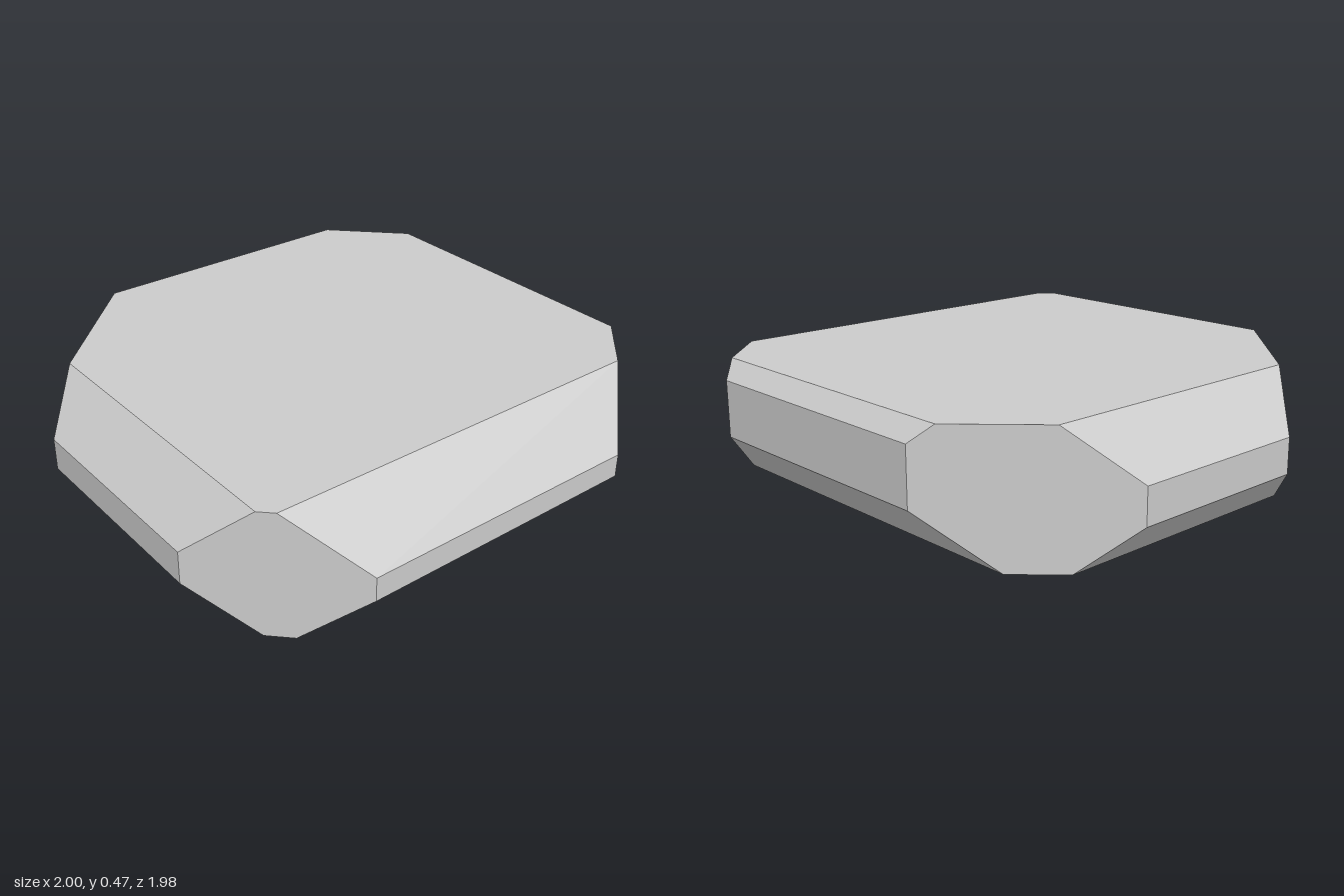
import * as THREE from 'three';

const HEIGHT = 0.47;

// Four sides, going round from the front: outward direction, distance from the
// centre, the two heights of the upright band, and the diagonal cut that follows.
const SIDES = [
  { n: [0, 1], d: 0.992, low: 0.18, high: 0.3, cut: 1.567 },   // front
  { n: [1, 0], d: 1, low: 0.172, high: 0.26, cut: 1.525 },     // left (+x)
  { n: [0, -1], d: 0.992, low: 0.2, high: 0.408, cut: 1.49 },  // back
  { n: [-1, 0], d: 1, low: 0.155, high: 0.285, cut: 1.22 },    // right (-x)
];

// Start and end columns of one side, each four points from bottom to top.
// Both bevels run at 45 degrees, so their inset equals their height.
function sideColumns(side, i) {
  const [nx, nz] = side.n;
  const [tx, tz] = [nz, -nx];
  const before = SIDES[(i + 3) % 4].cut;
  const levels = [
    [side.d - side.low, 0],
    [side.d, side.low],
    [side.d, side.high],
    [side.d - (HEIGHT - side.high), HEIGHT],
  ];
  const column = (sign, cut) => levels.map(([d, y]) => {
    const t = sign * (cut - d);
    return [nx * d + tx * t, y, nz * d + tz * t];
  });
  return { start: column(-1, before), end: column(1, side.cut) };
}

function bevelledSlab() {
  const positions = [];
  // Fan of triangles over a flat convex outline
  const addFace = (pts) => {
    for (let i = 1; i < pts.length - 1; i++) positions.push(...pts[0], ...pts[i], ...pts[i + 1]);
  };
  const columns = SIDES.map(sideColumns);

  columns.forEach(({ start, end }, i) => {
    // Lower bevel, upright band, upper bevel
    for (let k = 0; k < 3; k++) addFace([start[k], end[k], end[k + 1], start[k + 1]]);
    // Upright diagonal corner
    const next = columns[(i + 1) % 4].start;
    addFace([...next, ...end.slice().reverse()]);
  });

  // Top and bottom
  addFace(columns.flatMap(({ start, end }) => [start[3], end[3]]));
  addFace(columns.flatMap(({ start, end }) => [start[0], end[0]]).reverse());

  const geometry = new THREE.BufferGeometry();
  geometry.setAttribute('position', new THREE.Float32BufferAttribute(positions, 3));
  geometry.computeVertexNormals();
  return geometry;
}

export function createModel() {
  const group = new THREE.Group();
  group.name = 'stoneSlab';
  const material = new THREE.MeshStandardMaterial({ color: 0xcccccc, flatShading: true });
  const slab = new THREE.Mesh(bevelledSlab(), material);
  slab.name = 'bevelledSlab';
  group.add(slab);
  return group;
}
